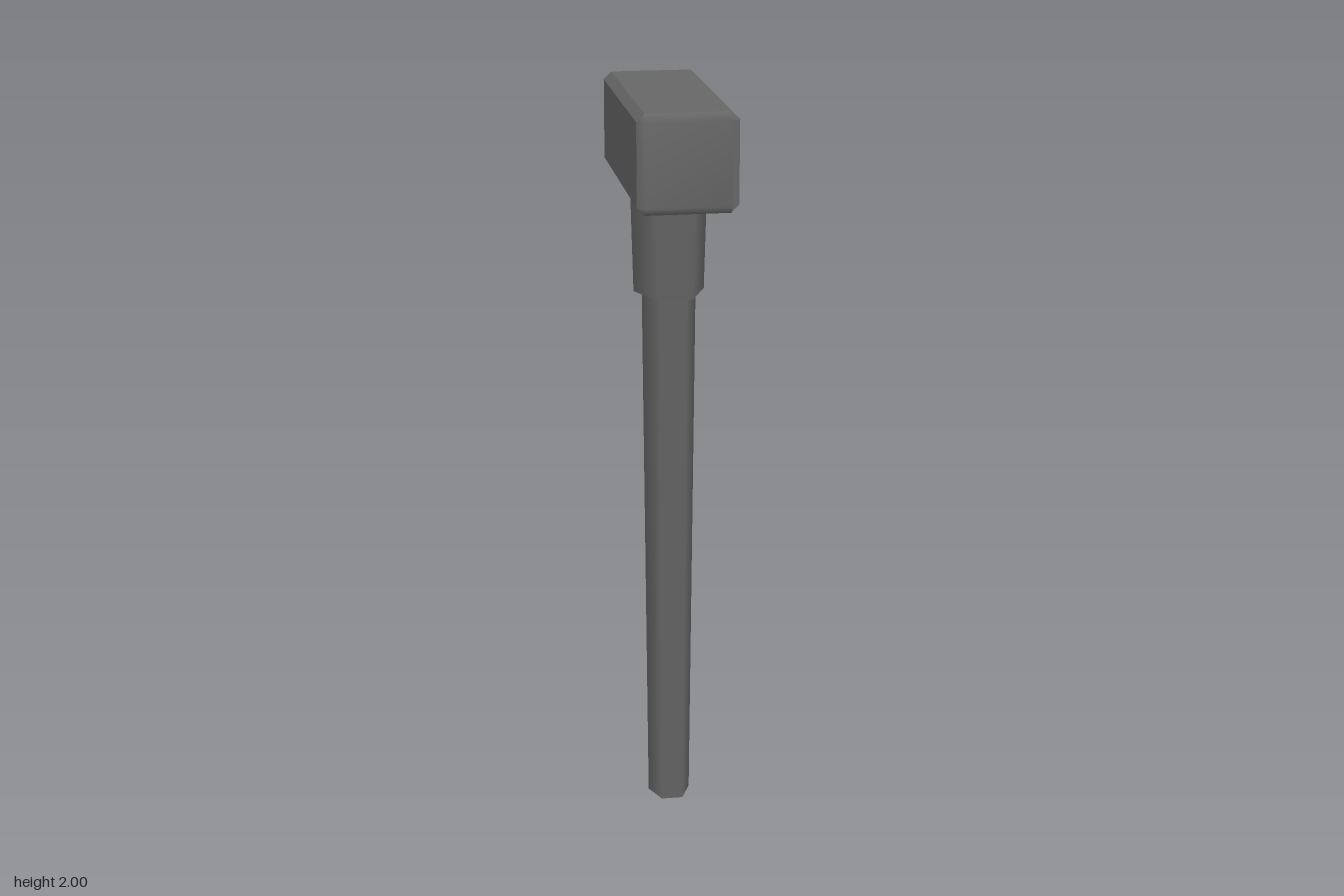
import * as THREE from 'three';

export function createModel() {
  const group = new THREE.Group();
  group.name = 'sledgehammer';
  const material = new THREE.MeshStandardMaterial({ color: 0x666666 });

  const add = (parent, name, geometry, y = 0) => {
    const mesh = new THREE.Mesh(geometry, material);
    mesh.name = name;
    mesh.position.y = y;
    parent.add(mesh);
    return mesh;
  };

  // Tapered six-sided bar, corners on the x axis, deeper than it is wide
  const hexBar = (name, rBottom, rTop, y0, y1) => {
    const geometry = new THREE.CylinderGeometry(rTop, rBottom, y1 - y0, 6, 1, false, Math.PI / 2);
    add(group, name, geometry.scale(1, 1, 1.29), (y0 + y1) / 2);
  };
  hexBar('handle', 0.058, 0.072, 0, 1.49);
  hexBar('collar', 0.0938, 0.1015, 1.474, 1.76);

  // Head: long block along z with chamfered edges
  const head = new THREE.Group();
  head.name = 'head';
  head.position.y = 1.874;
  group.add(head);

  const hx = 0.128, hy = 0.126, hz = 0.328, c = 0.02;
  const ix = hx - c, iy = hy - c, iz = hz - c;
  const outline = [
    [hx, -iy], [hx, iy], [ix, hy], [-ix, hy],
    [-hx, iy], [-hx, -iy], [-ix, -hy], [ix, -hy],
  ];
  const shape = new THREE.Shape(outline.map(([x, y]) => new THREE.Vector2(x, y)));
  const block = new THREE.ExtrudeGeometry(shape, { depth: 2 * iz, bevelEnabled: false });
  add(head, 'headBlock', block.translate(0, 0, -iz));

  // Striking face with its chamfers, smoothly shaded
  const face = new THREE.BufferGeometry();
  const inner = [[ix, iy], [-ix, iy], [-ix, -iy], [ix, -iy]];
  const points = [...outline.map(p => [...p, iz]), ...inner.map(p => [...p, hz])];
  const index = [8, 9, 10, 8, 10, 11];
  for (let i = 0; i < 4; i++) {
    const a = 2 * i + 1, b = a + 1, next = (a + 2) % 8;
    const p = 8 + i, q = 8 + (i + 1) % 4;
    index.push(a, b, p, b, next, q, b, q, p);
  }
  face.setAttribute('position', new THREE.Float32BufferAttribute(points.flat(), 3));
  face.setIndex(index);
  face.computeVertexNormals();
  add(head, 'frontFace', face);
  add(head, 'backFace', face).rotation.y = Math.PI;

  return group;
}
